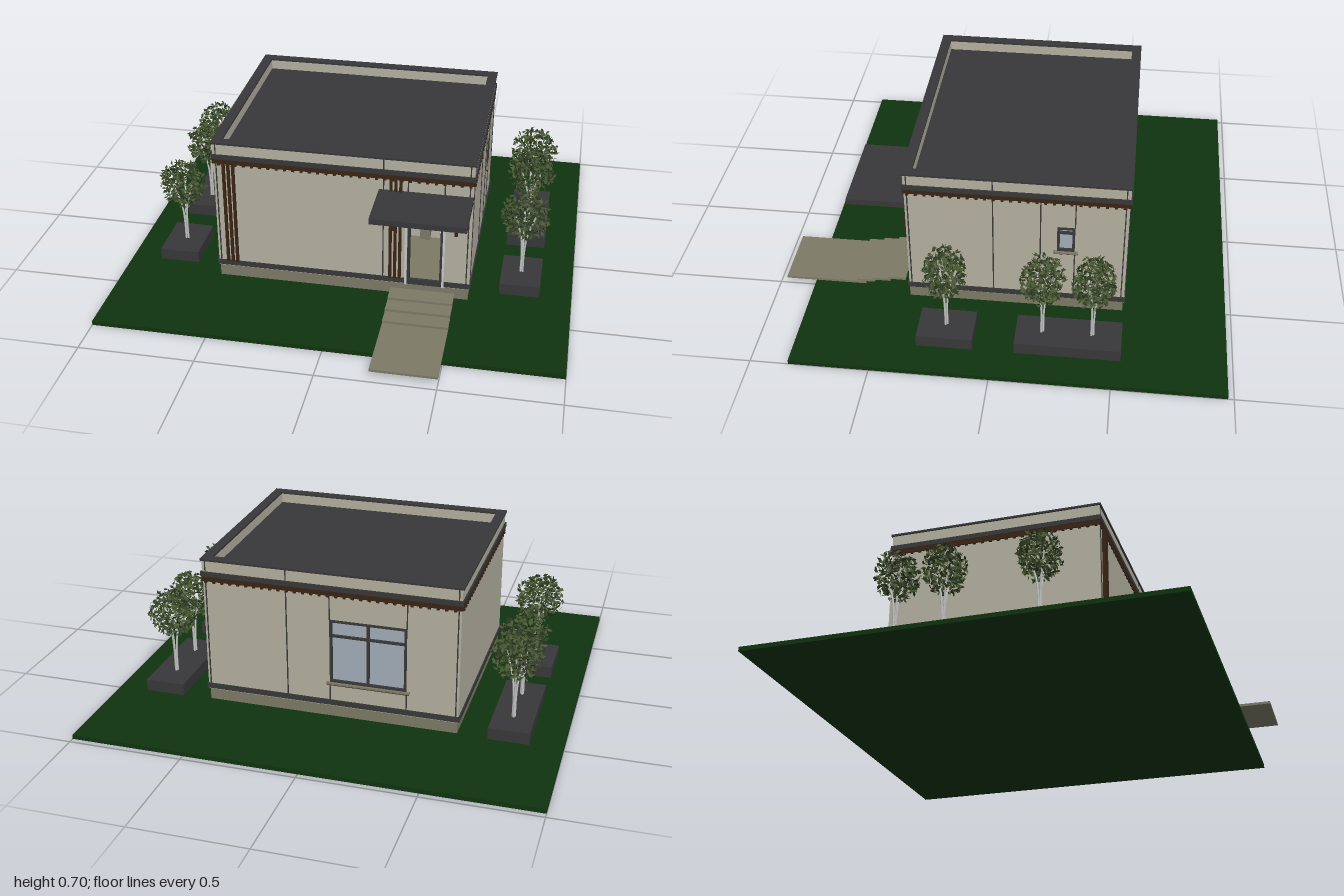
import * as THREE from 'three';

const mat = (name, color, double) => {
  const m = new THREE.MeshStandardMaterial({ color });
  m.name = name;
  if (double) m.side = THREE.DoubleSide;
  return m;
};

const M = {
  wall: mat('wall beige', 0xb4b1a0),
  dark: mat('charcoal', 0x38383a),
  brown: mat('dark wood', 0x3a2414),
  stone: mat('stone', 0x7c7a66),
  grass: mat('grass', 0x10330f),
  leaf: mat('leaf', 0x4a5a34, true),
  leafDark: mat('dark leaf', 0x2c3a22, true),
  light: mat('light grey', 0xc9c9c9),
  glass: mat('glass', 0xa4adb8),
};

// Box given by its limits on each axis
function box(parent, name, m, x0, x1, y0, y1, z0, z1) {
  const mesh = new THREE.Mesh(new THREE.BoxGeometry(x1 - x0, y1 - y0, z1 - z0), m);
  mesh.position.set((x0 + x1) / 2, (y0 + y1) / 2, (z0 + z1) / 2);
  mesh.name = name;
  parent.add(mesh);
  return mesh;
}

function rect(C, x0, x1, y0, y1) {
  const s = new C();
  s.moveTo(x0, y0).lineTo(x1, y0).lineTo(x1, y1).lineTo(x0, y1).closePath();
  return s;
}

// Upright wall with openings, running along local x
function wall(parent, name, x0, x1, y0, y1, t, openings = []) {
  const s = rect(THREE.Shape, x0, x1, y0, y1);
  openings.forEach(o => s.holes.push(rect(THREE.Path, ...o)));
  const mesh = new THREE.Mesh(new THREE.ExtrudeGeometry(s, { depth: t, bevelEnabled: false }), M.wall);
  mesh.name = name;
  parent.add(mesh);
  return mesh;
}

// Horizontal band following the outline of the house
function ring(parent, name, m, grow, t, y0, y1) {
  const x = 0.56 + grow, a = -0.40 - grow, b = 0.535 + grow;
  const s = rect(THREE.Shape, -x, x, a, b);
  s.holes.push(rect(THREE.Path, -x + t, x - t, a + t, b - t));
  const g = new THREE.ExtrudeGeometry(s, { depth: y1 - y0, bevelEnabled: false }).rotateX(-Math.PI / 2);
  const mesh = new THREE.Mesh(g, m);
  mesh.position.y = y0;
  mesh.name = name;
  parent.add(mesh);
}

// Window facing local +z, with a top light and an optional mullion
function windowUnit(name, x0, x1, y0, y1, mullion) {
  const g = new THREE.Group(), f = 0.011, yt = y1 - (y1 - y0) * 0.27;
  g.name = name;
  box(g, 'windowGlass', M.glass, x0, x1, y0, y1, -0.014, -0.008);
  for (const x of [x0, x1 - f]) box(g, 'windowStile', M.dark, x, x + f, y0, y1, -0.018, 0.004);
  for (const y of [y0, yt, y1 - f]) box(g, 'windowRail', M.dark, x0, x1, y, y + f * 0.9, -0.018, 0.003);
  if (mullion) {
    const c = (x0 + x1) / 2;
    box(g, 'windowMullion', M.dark, c - f / 2, c + f / 2, y0, y1, -0.018, 0.002);
  }
  box(g, 'windowSill', M.stone, x0 - 0.015, x1 + 0.015, y0 - 0.008, y0, -0.01, 0.014);
  box(g, 'sillTrim', M.brown, x0 - 0.012, x1 + 0.012, y0 - 0.014, y0 - 0.008, 0, 0.008);
  return g;
}

let seed = 7;
const rnd = () => (seed = (seed * 16807) % 2147483647) / 2147483647;
const rndDir = () => {
  const y = rnd() * 2 - 1, a = rnd() * Math.PI * 2, r = Math.sqrt(1 - y * y);
  return new THREE.Vector3(r * Math.cos(a), y, r * Math.sin(a));
};

// Diamond leaves scattered through an ellipsoid crown
function leaves(count) {
  const p = [];
  for (let i = 0; i < count; i++) {
    const c = rndDir().multiply(new THREE.Vector3(0.108, 0.112, 0.092)).multiplyScalar(0.35 + 0.65 * Math.sqrt(rnd()));
    const u = rndDir(), v = rndDir().cross(u).normalize();
    u.multiplyScalar(0.013);
    v.multiplyScalar(0.0065);
    const a = c.clone().add(u), b = c.clone().add(v), d = c.clone().sub(u), e = c.clone().sub(v);
    for (const q of [a, b, d, a, d, e]) p.push(q.x, q.y, q.z);
  }
  const g = new THREE.BufferGeometry();
  g.setAttribute('position', new THREE.Float32BufferAttribute(p, 3));
  g.computeVertexNormals();
  return g;
}

function tree(x, z) {
  const g = new THREE.Group();
  g.name = 'tree';
  for (const [m, n] of [[M.leaf, 400], [M.leafDark, 220]]) {
    const crown = new THREE.Mesh(leaves(n), m);
    crown.name = 'crown';
    crown.position.y = 0.37;
    g.add(crown);
  }
  // Three slim stems that fork apart into the crown
  for (let i = 0; i < 3; i++) {
    const a = i * 2.1 + 0.4, c = Math.cos(a), s = Math.sin(a);
    const path = new THREE.CatmullRomCurve3([[0.006, 0.07], [0.006, 0.17], [0.014, 0.26], [0.05, 0.38]]
      .map(([r, y]) => new THREE.Vector3(c * r, y, s * r)));
    const stem = new THREE.Mesh(new THREE.TubeGeometry(path, 8, 0.0045, 6), M.light);
    stem.name = 'stem';
    g.add(stem);
  }
  g.position.set(x, 0, z);
  return g;
}

export function createModel() {
  const root = new THREE.Group();
  root.name = 'smallPavilion';

  // Lawn, entrance path and floating treads
  box(root, 'lawn', M.grass, -1, 1, 0.003, 0.022, -0.975, 0.838);
  box(root, 'path', M.stone, 0.22, 0.5, 0.03, 0.041, 0.61, 0.968);
  for (let i = 0; i < 3; i++)
    box(root, 'step', M.stone, 0.22, 0.5, 0.043 + i * 0.012, 0.054 + i * 0.012, 0.57 - i * 0.07, 0.65 - i * 0.07);

  // House shell
  const house = new THREE.Group();
  house.name = 'house';
  root.add(house);
  const y0 = 0.085, y1 = 0.62, t = 0.02;
  const door = [0.285, 0.44, 0.087, 0.48];
  box(house, 'plinth', M.stone, -0.555, 0.555, 0.033, 0.085, -0.53, 0.4);
  wall(house, 'frontWall', -0.56, 0.56, y0, y1, t, [door]).position.z = 0.4 - t;
  wall(house, 'backWall', -0.56, 0.56, y0, y1, t, [[-0.335, 0, 0.2, 0.49]]).position.z = -0.535;
  for (const s of [-1, 1]) {
    const side = wall(house, 'sideWall', -0.38, 0.515, y0, y1, t, s > 0 ? [[0.24, 0.315, 0.35, 0.475]] : []);
    side.rotation.y = Math.PI / 2;
    side.position.x = s > 0 ? 0.56 - t : -0.56;
  }
  box(house, 'partitionWall', M.wall, -0.54, 0.54, y0, y1, -0.02, 0);

  // Bands, parapet and roof
  ring(house, 'parapet', M.wall, 0.002, 0.037, 0.62, 0.693);
  ring(house, 'parapetCap', M.dark, 0.008, 0.043, 0.693, 0.702);
  ring(house, 'corniceBand', M.dark, 0.008, 0.03, 0.622, 0.644);
  ring(house, 'woodBand', M.brown, 0.005, 0.02, 0.6, 0.622);
  ring(house, 'baseBand', M.dark, 0.005, 0.012, 0.09, 0.114);
  box(house, 'roof', M.dark, -0.535, 0.535, 0.62, 0.65, -0.51, 0.375);

  // Wooden brackets under the band
  for (let x = -0.54; x < 0.55; x += 0.036)
    for (const z of [0.4, -0.543]) box(house, 'bracket', M.brown, x, x + 0.012, 0.594, 0.603, z, z + 0.008);
  for (let z = -0.52; z < 0.39; z += 0.036)
    for (const x of [0.56, -0.568]) box(house, 'bracket', M.brown, x, x + 0.008, 0.594, 0.603, z, z + 0.012);

  // Panel joints
  const j = 0.0025;
  const jointX = (x, z, a, b) => box(house, 'panelJoint', M.dark, x - j, x + j, a, b, z - 0.003, z + 0.003);
  const jointZ = (x, z, a, b) => box(house, 'panelJoint', M.dark, x - 0.003, x + 0.003, a, b, z - j, z + j);
  for (const x of [-0.548, 0.18, 0.545]) jointX(x, 0.4, 0.11, 0.694);
  for (const x of [0.285, 0.44]) jointX(x, 0.4, 0.48, 0.6);
  for (const x of [-0.548, 0.19, 0.548]) jointX(x, -0.535, 0.11, 0.694);
  for (const x of [0, -0.335]) { jointX(x, -0.535, 0.49, 0.6); jointX(x, -0.535, 0.11, 0.19); }
  for (const z of [0.03, -0.52, 0.388]) jointZ(0.56, z, 0.11, 0.694);
  jointZ(0.56, -0.17, 0.11, 0.6);
  jointZ(0.56, -0.315, 0.475, 0.6);
  jointZ(0.56, -0.315, 0.11, 0.345);

  // Vertical wooden slats
  for (const x of [-0.515, -0.494, -0.473, 0.212, 0.233, 0.254])
    box(house, 'slat', M.brown, x - 0.006, x + 0.006, 0.114, 0.6, 0.4, 0.412);

  // Entrance: canopy, light surround, dark door frame and lamps
  box(house, 'canopy', M.dark, 0.16, 0.56, 0.521, 0.547, 0.4, 0.648);
  for (const x of [0.276, 0.439]) box(house, 'doorSurround', M.light, x, x + 0.01, 0.087, 0.49, 0.39, 0.41);
  box(house, 'doorSurround', M.light, 0.276, 0.449, 0.479, 0.49, 0.39, 0.409);
  for (const x of [0.286, 0.428]) box(house, 'doorFrame', M.dark, x, x + 0.011, 0.087, 0.479, 0.38, 0.402);
  box(house, 'doorFrame', M.dark, 0.286, 0.439, 0.467, 0.479, 0.38, 0.401);
  box(house, 'threshold', M.dark, 0.286, 0.439, 0.085, 0.094, 0.38, 0.401);
  for (const x of [0.22, 0.495]) box(house, 'wallLamp', M.brown, x - 0.007, x + 0.007, 0.36, 0.42, 0.4, 0.42);

  // Washroom seen through the doorway
  box(house, 'mirror', M.dark, 0.295, 0.33, 0.28, 0.39, 0.002, 0.01);
  box(house, 'basin', M.light, 0.29, 0.345, 0.22, 0.245, 0, 0.06);
  box(house, 'basinCabinet', M.stone, 0.295, 0.34, 0.1, 0.22, 0, 0.05);
  box(house, 'cistern', M.light, 0.385, 0.435, 0.15, 0.21, 0, 0.025);
  const bowl = new THREE.Mesh(new THREE.CylinderGeometry(0.028, 0.018, 0.065, 16), M.light);
  bowl.name = 'toiletBowl';
  bowl.position.set(0.41, 0.118, 0.045);
  house.add(bowl);

  // Windows
  const back = windowUnit('backWindow', 0, 0.335, 0.2, 0.49, true);
  back.rotation.y = Math.PI;
  back.position.z = -0.535;
  const side = windowUnit('sideWindow', 0.24, 0.315, 0.35, 0.475, false);
  side.rotation.y = Math.PI / 2;
  side.position.x = 0.56;
  house.add(back, side);

  // Planters and trees on both sides
  for (const s of [-1, 1]) {
    for (const [a, b] of [[0.085, 0.322], [-0.535, -0.09]])
      box(root, 'planter', M.dark, s * 0.773 - 0.088, s * 0.773 + 0.088, 0.03, 0.083, a, b);
    for (const z of [0.205, -0.2, -0.41]) root.add(tree(s * 0.772, z));
  }
  return root;
}
